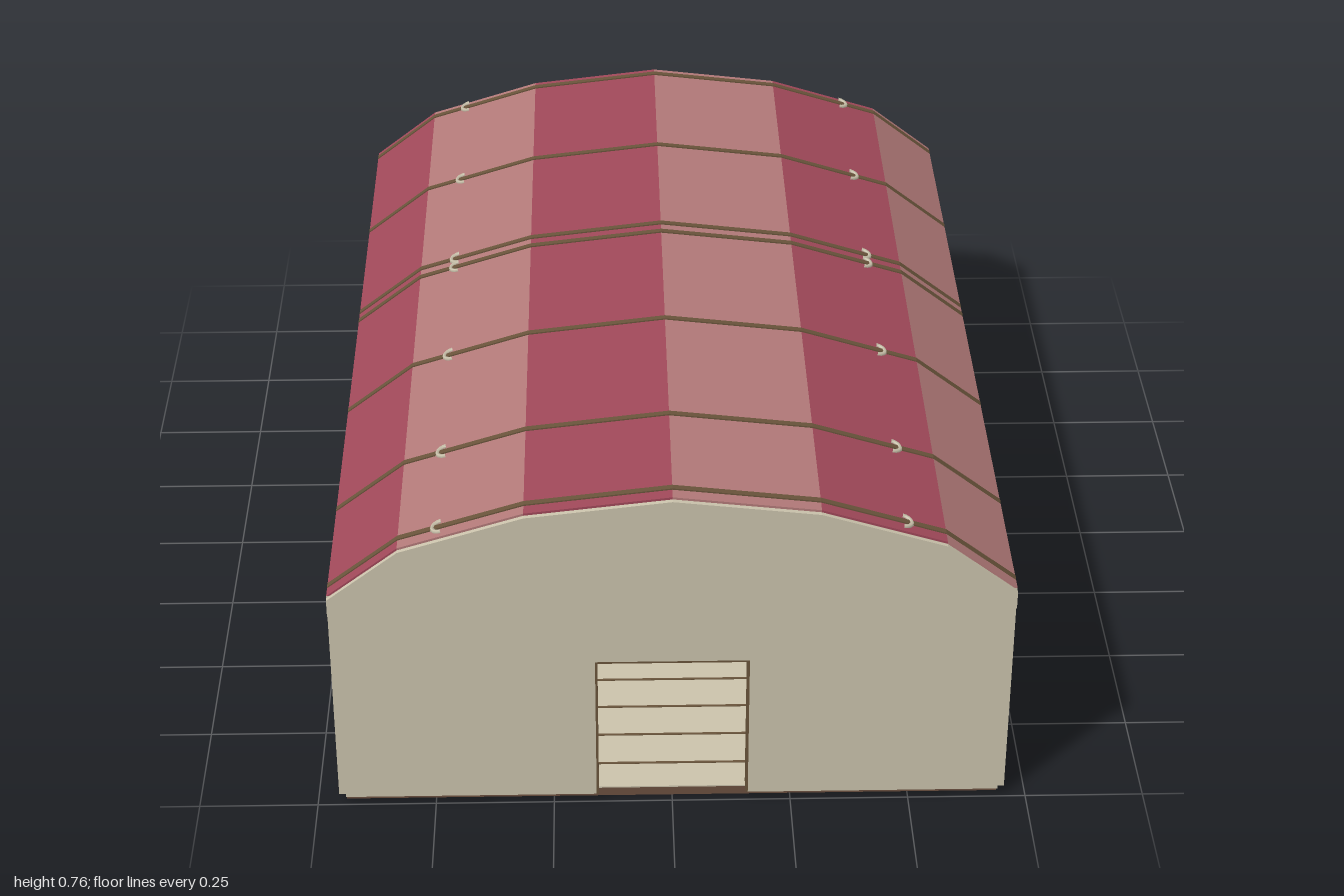
import * as THREE from 'three';

const mat = (name, color) => {
  const m = new THREE.MeshStandardMaterial({ color });
  m.name = name;
  return m;
};

export function createModel() {
  const cream = mat('cream', 0xcbc3ac);
  const red = mat('red', 0xa04859);
  const pink = mat('pink', 0xb37a79);
  const brown = mat('brown', 0x6b4f3f);
  const olive = mat('rib brown', 0x69543b);
  const dark = mat('dark brown', 0x3d2e24);

  const hangar = new THREE.Group();
  hangar.name = 'hangar';

  const add = (name, geo, material, x = 0, y = 0, z = 0, parent = hangar) => {
    const m = new THREE.Mesh(geo, material);
    m.name = name;
    m.position.set(x, y, z);
    parent.add(m);
    return m;
  };
  // Box given by its limits
  const box = (name, material, x0, x1, y0, y1, z0, z1, parent) =>
    add(name, new THREE.BoxGeometry(x1 - x0, y1 - y0, z1 - z0), material,
      (x0 + x1) / 2, (y0 + y1) / 2, (z0 + z1) / 2, parent);
  const poly = (pts) => new THREE.Shape(pts.map(([x, y]) => new THREE.Vector2(x, y)));
  const extrude = (shape, depth) =>
    new THREE.ExtrudeGeometry(shape, { depth, bevelEnabled: false });

  // Roof profile from one eave to the other
  const half = [[-0.705, 0.53], [-0.557, 0.645], [-0.3, 0.725]];
  const arc = [...half, [0, 0.76], ...half.map(([x, y]) => [-x, y]).reverse()];
  const lift = (pts, d) => pts.map(([x, y]) => [x, y + d]);
  const band = (pts, lo, hi) => poly([...lift(pts, lo), ...lift(pts, hi).reverse()]);

  // Base slab and boarded floor
  box('base', brown, -0.69, 0.69, 0, 0.02, -0.98, 0.98);
  box('floor', cream, -0.688, 0.688, 0.02, 0.023, -0.98, 0.98);
  for (let z = -0.9; z < 0.95; z += 0.1)
    box('floorGroove', olive, -0.688, 0.688, 0.023, 0.0245, z - 0.003, z + 0.003);

  // Side walls
  for (const s of [-1, 1]) {
    const x = s * 0.6975;
    box('sideWall', cream, x - 0.0075, x + 0.0075, 0.02, 0.53, -0.99, 0.99);
  }

  // End walls with their door openings
  const endWall = (name, z, w, top) => {
    const shape = poly([[-0.69, 0.02], [-w, 0.02], [-w, top], [w, top], [w, 0.02], [0.69, 0.02],
      [0.69, 0.485], [0.705, 0.485], ...lift(arc, -0.005).reverse(), [-0.705, 0.485], [-0.69, 0.485]]);
    add(name, extrude(shape, 0.02), cream, 0, 0, z);
  };
  endWall('frontWall', 0.98, 0.16, 0.363);
  endWall('backWall', -1, 0.617, 0.48);

  // Door frames lining the openings
  const frame = (name, w, top, z0, z1, t) => {
    box(name, olive, -w, -w + t, 0.02, top, z0, z1);
    box(name, olive, w - t, w, 0.02, top, z0, z1);
    box(name, olive, -w, w, top - t, top, z0, z1);
  };
  frame('frontDoorFrame', 0.16, 0.363, 0.965, 0.999, 0.005);
  frame('backDoorFrame', 0.617, 0.48, -0.999, -0.965, 0.01);

  // Roof strips in alternating colours
  for (let i = 0; i < arc.length - 1; i++)
    add('roofStrip', extrude(band([arc[i], arc[i + 1]], -0.006, 0), 1.98),
      i % 2 ? pink : red, 0, 0, -0.99);

  // Roof ribs with clips
  for (const z of [-0.965, -0.57, -0.17, -0.13, 0.27, 0.67, 0.955]) {
    add('roofRib', extrude(band(arc, -0.003, 0.003), 0.014), olive, 0, 0, z - 0.007);
    for (const s of [-1, 1]) {
      const holder = new THREE.Group();
      holder.name = 'ribClip';
      holder.position.set(s * 0.468, 0.674, z);
      holder.rotation.z = -s * 0.304;
      const geo = new THREE.TorusGeometry(0.019, 0.005, 5, 8, Math.PI);
      geo.rotateZ(-s * Math.PI / 2).rotateX(Math.PI / 2);
      add('clipArc', geo, cream, 0, 0, 0, holder);
      hangar.add(holder);
    }
  }

  // Back double door, brown outside and red inside
  box('backDoorOuter', brown, -0.607, 0.607, 0.023, 0.47, -0.985, -0.975);
  box('backDoorInner', red, -0.607, 0.607, 0.023, 0.47, -0.975, -0.965);
  for (const y of [0.165, 0.31]) {
    box('outerPanelGroove', dark, -0.607, 0.607, y - 0.003, y + 0.003, -0.987, -0.985);
    box('innerPanelBar', olive, -0.607, 0.607, y - 0.005, y + 0.005, -0.965, -0.958);
  }
  box('outerDoorSeam', dark, -0.003, 0.003, 0.023, 0.47, -0.987, -0.985);

  // Lock assembly on the inside of the back door
  const lock = new THREE.Group();
  lock.name = 'doorLock';
  hangar.add(lock);
  box('lockPost', brown, -0.03, 0.03, 0.08, 0.47, -0.965, -0.956, lock);
  box('innerDoorSeam', cream, -0.002, 0.002, 0.023, 0.47, -0.956, -0.955, lock);
  box('lockPlate', brown, -0.067, 0.067, 0.172, 0.32, -0.956, -0.945, lock);
  box('padlockBody', cream, -0.028, 0.028, 0.2, 0.248, -0.945, -0.93, lock);
  for (const x of [-0.021, 0.021])
    box('padlockShackle', cream, x - 0.006, x + 0.006, 0.248, 0.284, -0.945, -0.935, lock);
  box('padlockShackle', cream, -0.027, 0.027, 0.274, 0.284, -0.945, -0.935, lock);
  add('keyhole', new THREE.CircleGeometry(0.008, 12), dark, 0, 0.23, -0.929, lock);
  box('keyholeSlot', dark, -0.003, 0.003, 0.208, 0.23, -0.93, -0.929, lock);
  box('boltTop', cream, -0.015, 0.015, 0.103, 0.14, -0.956, -0.946, lock);
  for (const x of [-0.028, 0.028])
    box('boltSide', cream, x - 0.01, x + 0.01, 0.065, 0.107, -0.956, -0.946, lock);
  box('boltFoot', cream, -0.02, 0.02, 0.023, 0.065, -0.965, -0.946, lock);

  // Curved hose left on the floor
  const hose = add('floorHose', new THREE.TorusGeometry(0.06, 0.014, 6, 14, Math.PI), red, -0.42, 0.037, 0.52);
  hose.rotation.x = -Math.PI / 2;

  return hangar;
}
